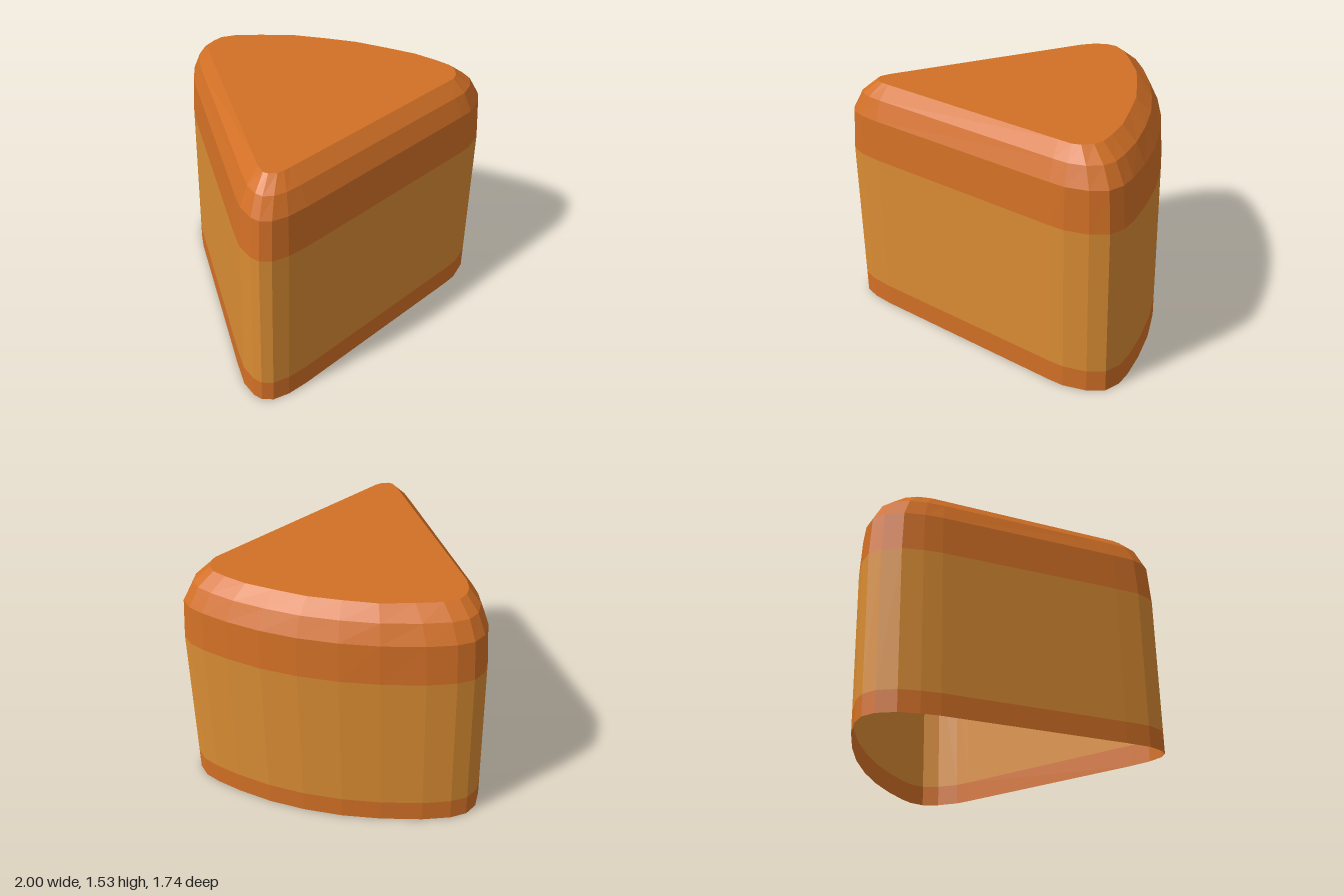
import * as THREE from 'three';

// Outline of the wedge wall [x, z], from the left corner round the back to the front
const wall = [
  [-1, .72], [-.98, .61], [-.9, .46], [-.29, -.6], [-.22, -.7], [-.13, -.8], [-.02, -.865],
  [.08, -.87], [.18, -.82], [.32, -.7], [.5, -.5], [.65, -.3], [.78, -.08], [.88, .14],
  [.95, .36], [.99, .54], [1, .65], [.97, .75], [.88, .82], [.74, .865], [.64, .87],
  [-.7, .87], [-.84, .86], [-.94, .83], [-.99, .78],
];
// Matching outline of the flat top
const rim = [
  [-.84, .66], [-.82, .6], [-.77, .51], [-.22, -.48], [-.17, -.57], [-.11, -.64], [-.04, -.68],
  [.03, -.685], [.12, -.64], [.24, -.53], [.39, -.38], [.51, -.2], [.62, -.02], [.7, .17],
  [.77, .35], [.8, .5], [.81, .6], [.79, .66], [.74, .71], [.69, .73], [.6, .73],
  [-.7, .73], [-.75, .73], [-.79, .72], [-.83, .69],
];

// Cross-section at height y, blended t of the way from wall to rim
const ring = (y, t) => wall.map(([x, z], i) => [
  x + (rim[i][0] - x) * t, y, z + (rim[i][1] - z) * t,
]);

function build(triangles) {
  const g = new THREE.BufferGeometry();
  g.setAttribute('position', new THREE.Float32BufferAttribute(triangles.flat(), 3));
  g.computeVertexNormals(); // unshared corners give flat facets
  return g;
}

// Band of facets joining successive rings, bottom to top
function band(rings) {
  const tris = [];
  for (let r = 0; r < rings.length - 1; r++) {
    const lo = rings[r], hi = rings[r + 1];
    for (let i = 0; i < lo.length; i++) {
      const j = (i + 1) % lo.length;
      tris.push(lo[j], lo[i], hi[i], lo[j], hi[i], hi[j]);
    }
  }
  return build(tris);
}

// Flat lid over a convex ring
function cap(pts) {
  const tris = [];
  for (let i = 1; i < pts.length - 1; i++) tris.push(pts[0], pts[i + 1], pts[i]);
  return build(tris);
}

export function createModel() {
  const group = new THREE.Group();
  group.name = 'roundedWedge';

  const orange = new THREE.MeshStandardMaterial({ color: 0xd27026, side: THREE.DoubleSide, flatShading: true });
  orange.name = 'burnt orange';
  const amber = new THREE.MeshStandardMaterial({ color: 0xd98c33, side: THREE.DoubleSide, flatShading: true });
  amber.name = 'amber';

  const add = (name, geometry, material) => {
    const mesh = new THREE.Mesh(geometry, material);
    mesh.name = name;
    group.add(mesh);
  };

  // Hollow shell, open underneath
  add('bottomBand', band([ring(0, 0), ring(.14, 0)]), orange);
  add('middleBand', band([ring(.14, 0), ring(1.07, 0)]), amber);
  add('roundedShoulder', band([ring(1.07, 0), ring(1.33, .1), ring(1.45, .45), ring(1.53, 1)]), orange);
  add('flatTop', cap(ring(1.53, 1)), orange);

  return group;
}
